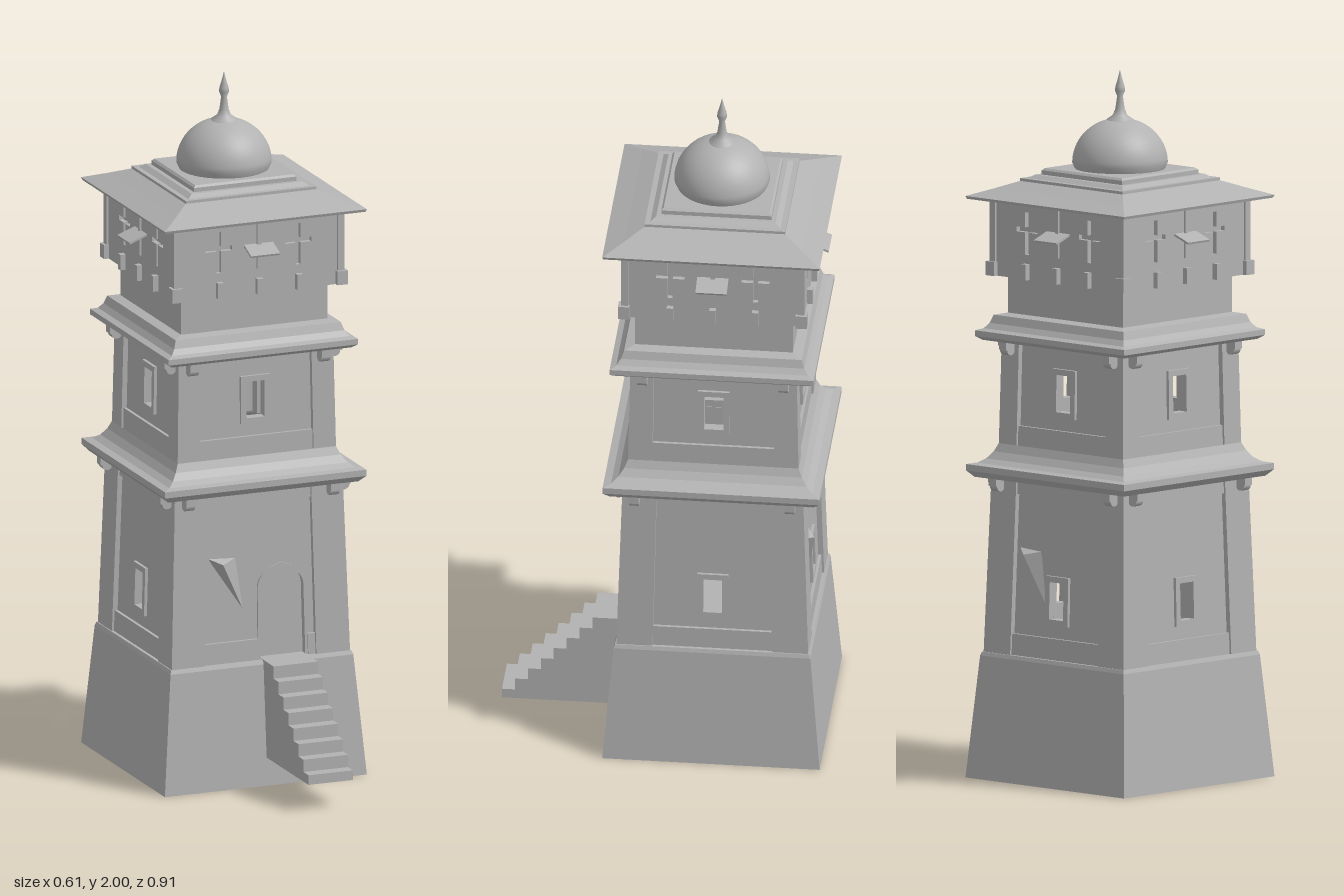
import * as THREE from 'three';
import { ConvexGeometry } from 'three/addons/geometries/ConvexGeometry.js';

const stone = new THREE.MeshStandardMaterial({ color: 0xb2b2b2, side: THREE.DoubleSide });
stone.name = 'grey stone';

function add(parent, name, geo, x = 0, y = 0, z = 0) {
  const m = new THREE.Mesh(geo, stone);
  m.name = name;
  m.position.set(x, y, z);
  parent.add(m);
  return m;
}

function flat(geo) {
  const g = geo.index ? geo.toNonIndexed() : geo;
  g.computeVertexNormals();
  return g;
}

// Square ring swept up a profile of [half width, height]
function squareLoft(profile) {
  const pts = profile.map(([h, y]) => new THREE.Vector2(h * Math.SQRT2, y));
  return flat(new THREE.LatheGeometry(pts, 4, Math.PI / 4));
}

function round(profile, segments = 40) {
  return new THREE.LatheGeometry(profile.map(([r, y]) => new THREE.Vector2(r, y)), segments);
}

function rectPath(x, y, w, h, Type = THREE.Path) {
  const p = new Type();
  p.moveTo(x - w / 2, y - h / 2);
  p.lineTo(x + w / 2, y - h / 2);
  p.lineTo(x + w / 2, y + h / 2);
  p.lineTo(x - w / 2, y + h / 2);
  p.closePath();
  return p;
}

// Pointed arch doorway
function archPath(x0, x1, y0, spring, top, Type = THREE.Path) {
  const p = new Type(), c = (x0 + x1) / 2;
  p.moveTo(x0, y0);
  p.lineTo(x1, y0);
  p.lineTo(x1, spring);
  p.quadraticCurveTo(x1, top - 0.02, c, top);
  p.quadraticCurveTo(x0, top - 0.02, x0, spring);
  p.closePath();
  return p;
}

function crossPath(x, y, w, up, down, arm) {
  const p = new THREE.Path(), t = w / 2;
  [[-t, -down], [t, -down], [t, -t], [arm, -t], [arm, t], [t, t], [t, up], [-t, up],
    [-t, t], [-arm, t], [-arm, -t], [-t, -t]]
    .forEach(([a, b], i) => (i ? p.lineTo(x + a, y + b) : p.moveTo(x + a, y + b)));
  p.closePath();
  return p;
}

function plate(shape, depth, holes = []) {
  shape.holes.push(...holes);
  return new THREE.ExtrudeGeometry(shape, { depth, bevelEnabled: false, curveSegments: 10 });
}

// One storey: corner piers, recessed panels, rails, windows and brackets, all leaning inward
function storey(o) {
  const g = new THREE.Group();
  g.name = o.name;
  const { y0, y1, h0, h1, pier } = o, H = y1 - y0, mid = (y0 + y1) / 2;
  const lean = (geo) => {
    const p = geo.attributes.position;
    for (let i = 0; i < p.count; i++) {
      const f = 1 + (h1 / h0 - 1) * (p.getY(i) - y0) / H;
      p.setX(i, p.getX(i) * f);
      p.setZ(i, p.getZ(i) * f);
    }
    return flat(geo);
  };
  const box = (w, h, d, x, y, z) => lean(new THREE.BoxGeometry(w, h, d).translate(x, y, z));
  const w = h0 - pier, zPanel = h0 - 0.015;
  for (let k = 0; k < 4; k++) {
    const face = new THREE.Group();
    face.name = 'storeyFace';
    face.rotation.y = k * Math.PI / 2;
    g.add(face);
    add(face, 'cornerPier', box(w, H, w, h0 - w / 2, mid, h0 - w / 2));

    const door = o.door && k === 0;
    const hole = door ? archPath(0.002, 0.14, y0 + 0.002, 0.56, 0.622)
      : rectPath(0, o.winY, 0.055, 0.105);
    const panel = plate(rectPath(0, mid, 2 * pier + 0.02, H, THREE.Shape), 0.02, [hole]);
    add(face, 'wallPanel', lean(panel.translate(0, 0, zPanel - 0.02)));

    if (door) {
      add(face, 'door', box(0.16, 0.28, 0.008, 0.071, 0.495, zPanel - 0.022));
      const trim = plate(archPath(-0.004, 0.146, y0, 0.56, 0.63, THREE.Shape), 0.006,
        [archPath(0.004, 0.138, y0 + 0.001, 0.56, 0.62)]);
      add(face, 'doorTrim', lean(trim.translate(0, 0, zPanel)));
    } else {
      const frame = plate(rectPath(0, o.winY, 0.09, 0.138, THREE.Shape), 0.03,
        [rectPath(0, o.winY, 0.055, 0.105)]);
      add(face, 'windowFrame', lean(frame.translate(0, 0, zPanel - 0.021)));
    }

    // Rails run between the piers and stop at the door
    const spans = door ? [[-pier, -0.004], [0.146, pier]] : [[-pier, pier]];
    for (const [a, b] of spans)
      add(face, 'bottomRail', box(b - a, 0.06, 0.02, (a + b) / 2, y0 + 0.03, h0 - 0.016));
    add(face, 'topRail', box(2 * pier, o.rail, 0.02, 0, y1 - o.rail / 2, h0 - 0.016));

    // Scroll brackets below the cornice
    for (const s of [-1, 1]) {
      const x = s * (h1 - 0.035);
      add(face, 'bracket', new THREE.BoxGeometry(0.028, 0.03, 0.045), x, o.bracketY + 0.025, h1 + 0.012);
      const roll = add(face, 'bracketScroll', new THREE.CylinderGeometry(0.016, 0.016, 0.028, 14),
        x, o.bracketY + 0.01, h1 + 0.014);
      roll.rotation.z = Math.PI / 2;
    }

    // Bulged plaster
    if (o.door && k % 2 === 0) {
      const z = zPanel - 0.008;
      add(face, 'plasterBulge', flat(new ConvexGeometry([[-0.15, 0.66, z], [-0.07, 0.655, z],
        [-0.02, 0.45, z - 0.005], [-0.115, 0.645, z + 0.025]].map((p) => new THREE.Vector3(...p)))));
    }
  }
  return g;
}

// Overhanging gallery with cross slits, corbels and hoods
function gallery() {
  const g = new THREE.Group();
  g.name = 'gallery';
  add(g, 'galleryCore', squareLoft([[0.2, 1.422], [0.238, 1.422], [0.238, 1.65]]));
  for (let k = 0; k < 4; k++) {
    const face = new THREE.Group();
    face.name = 'galleryFace';
    face.rotation.y = k * Math.PI / 2;
    g.add(face);
    const slits = [-0.12, 0.12].map((x) => crossPath(x, 1.56, 0.014, 0.05, 0.07, 0.04));
    add(face, 'galleryWall', plate(rectPath(0, 1.532, 0.504, 0.224, THREE.Shape), 0.014, slits), 0, 0, 0.238);
    add(face, 'cornerPost', new THREE.BoxGeometry(0.02, 0.22, 0.02), 0.248, 1.535, 0.248);
    add(face, 'cornerCorbel', new THREE.BoxGeometry(0.032, 0.04, 0.032), 0.25, 1.44, 0.25);
    for (const x of [-0.12, 0, 0.12])
      add(face, 'corbel', new THREE.BoxGeometry(0.018, 0.045, 0.03), x, 1.442, 0.253);
    add(face, 'middlePost', new THREE.BoxGeometry(0.012, 0.15, 0.008), 0, 1.567, 0.254);
    add(face, 'hood', new THREE.BoxGeometry(0.088, 0.006, 0.06), 0, 1.552, 0.276).rotation.x = 0.36;
  }
  return g;
}

// Solid flight of steps, drawn from the side and extruded across
function stairs() {
  const s = new THREE.Shape(), n = 7, run = 0.255 / n, rise = 0.25 / n;
  s.moveTo(0.1, 0.08);
  s.lineTo(0.1, 0.358);
  s.lineTo(0.2, 0.358);
  for (let i = 1; i <= n; i++) {
    s.lineTo(0.2 + (i - 1) * run, 0.358 - i * rise);
    s.lineTo(0.2 + i * run, 0.358 - i * rise);
  }
  s.lineTo(0.455, 0.08);
  s.closePath();
  return plate(s, 0.135).rotateY(-Math.PI / 2).translate(0.14, 0, 0);
}

export function createModel() {
  const root = new THREE.Group();
  root.name = 'watchtower';
  const tower = new THREE.Group();
  tower.name = 'tower';
  tower.position.z = -0.15;
  root.add(tower);

  // Battered hollow plinth
  add(tower, 'plinth', squareLoft([[0.306, 0], [0.277, 0.345], [0.273, 0.356], [0, 0.356]]));

  tower.add(storey({ name: 'lowerStorey', y0: 0.356, y1: 0.87, h0: 0.27, h1: 0.254, pier: 0.168,
    winY: 0.522, rail: 0.06, bracketY: 0.82, door: true }));
  add(tower, 'lowerCornice', squareLoft([[0.22, 0.848], [0.288, 0.85], [0.305, 0.868], [0.305, 0.886],
    [0.283, 0.89], [0.265, 0.902], [0.25, 0.922], [0.24, 0.945]]));

  tower.add(storey({ name: 'upperStorey', y0: 0.94, y1: 1.25, h0: 0.24, h1: 0.234, pier: 0.172,
    winY: 1.105, rail: 0.02, bracketY: 1.205 }));
  add(tower, 'upperCornice', squareLoft([[0.2, 1.236], [0.272, 1.237], [0.287, 1.248], [0.287, 1.264],
    [0.27, 1.27], [0.258, 1.285], [0.25, 1.308], [0.222, 1.314]]));

  add(tower, 'neck', squareLoft([[0.222, 1.3], [0.222, 1.425]]));
  tower.add(gallery());

  // Spreading eaves and stepped roof
  add(tower, 'roof', squareLoft([[0.23, 1.648], [0.303, 1.636], [0.306, 1.644], [0.25, 1.665],
    [0.198, 1.686], [0.198, 1.694], [0.183, 1.694], [0.168, 1.704], [0.155, 1.704],
    [0.155, 1.716], [0.149, 1.722], [0, 1.722]]));

  // Dome and finial
  const dome = [[0.126, 1.72]];
  for (let i = 0; i <= 14; i++) {
    const a = i / 14 * Math.PI / 2;
    dome.push([0.134 * Math.cos(a), 1.738 + 0.125 * Math.sin(a)]);
  }
  add(tower, 'dome', round(dome));
  add(tower, 'finial', round([[0.038, 1.852], [0.036, 1.861], [0.02, 1.872], [0.013, 1.89], [0.008, 1.925],
    [0.014, 1.94], [0.013, 1.952], [0.006, 1.975], [0, 2]], 16));

  add(root, 'stairs', stairs());
  return root;
}
